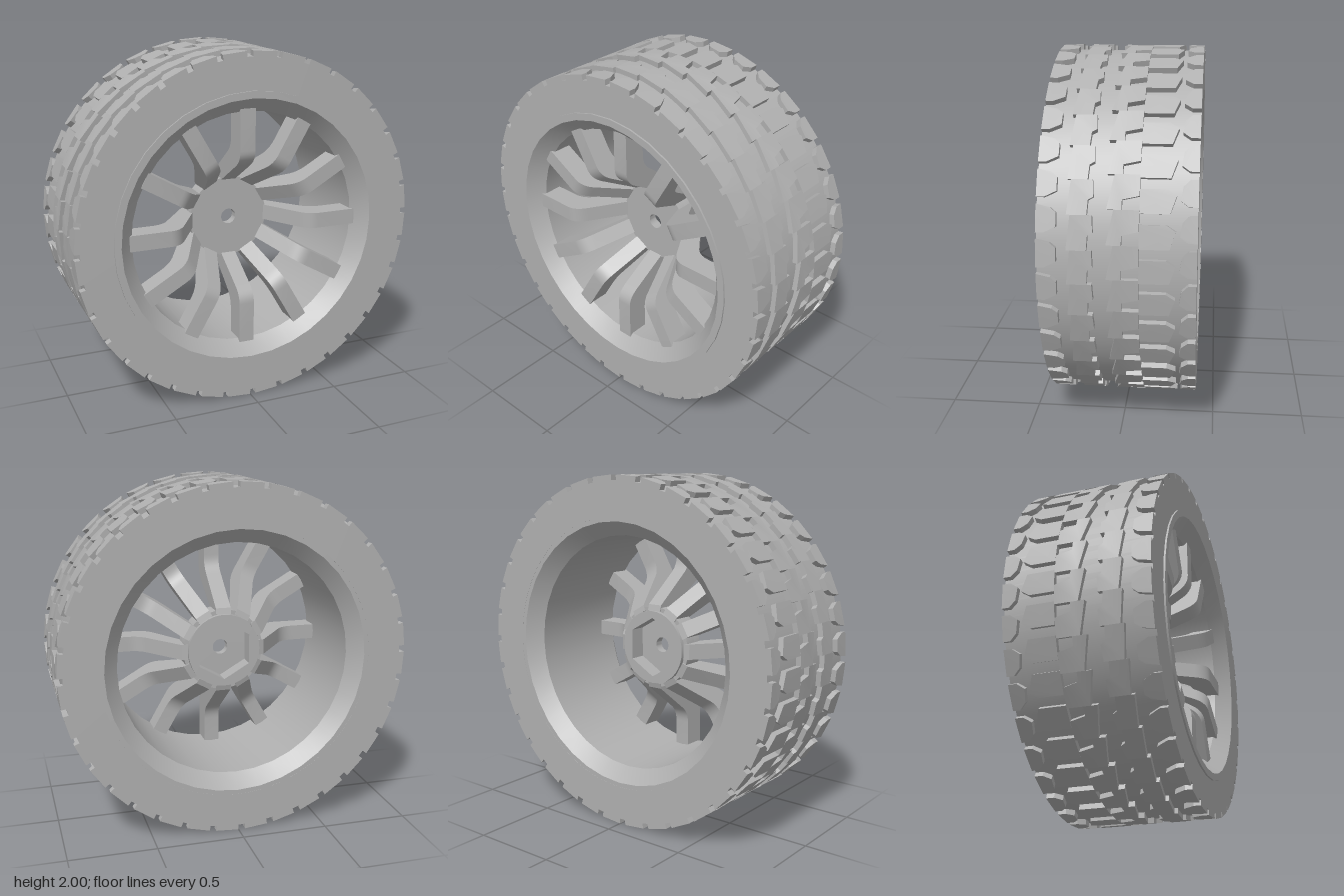
import * as THREE from 'three';
import { mergeGeometries, toCreasedNormals } from 'three/addons/utils/BufferGeometryUtils.js';

const grey = new THREE.MeshStandardMaterial({ color: 0xb0b0b0 });
grey.name = 'grey';

const TREADS = 36;
const PITCH = (Math.PI * 2) / TREADS;

function part(name, geometry) {
  const mesh = new THREE.Mesh(geometry, grey);
  mesh.name = name;
  return mesh;
}

// Closed ring of revolution about z from (radius, z) points, counterclockwise
function ring(points, segments) {
  const profile = [...points, points[0]].map(([r, z]) => new THREE.Vector2(r, z));
  const geometry = new THREE.LatheGeometry(profile, segments).rotateX(Math.PI / 2);
  return toCreasedNormals(geometry, 0.5);
}

// One repeating tread row: an outline in (arc, z), raised and wrapped round the tyre
function treadRow(outline, shift) {
  const shape = new THREE.Shape(outline.map(([a, z]) => new THREE.Vector2(-a, z)));
  const blocks = [];
  for (let i = 0; i < TREADS; i++) {
    const block = new THREE.ExtrudeGeometry(shape, { depth: 0.04, bevelEnabled: false });
    const p = block.attributes.position;
    for (let v = 0; v < p.count; v++) {
      const angle = p.getX(v) - shift + i * PITCH;
      const radius = 0.96 + p.getZ(v);
      p.setXYZ(v, -radius * Math.sin(angle), radius * Math.cos(angle), p.getY(v));
    }
    blocks.push(block);
  }
  return toCreasedNormals(mergeGeometries(blocks), 0.4);
}

// Flat disc with a hole, from z to z + depth
function disc(radius, hole, z, depth) {
  const shape = new THREE.Shape().absarc(0, 0, radius, 0, Math.PI * 2);
  shape.holes.push(hole);
  const geometry = new THREE.ExtrudeGeometry(shape, { depth, bevelEnabled: false, curveSegments: 20 });
  return toCreasedNormals(geometry.translate(0, 0, z), 0.5);
}

// Dished spoke: side profile in (radius, z), extruded to its width
function spokeGeometry() {
  const s = new THREE.Shape();
  s.moveTo(0.215, -0.08);
  s.lineTo(0.25, -0.07);
  s.lineTo(0.41, 0.14);
  s.quadraticCurveTo(0.45, 0.2, 0.52, 0.2);
  s.lineTo(0.685, 0.2);
  s.lineTo(0.685, 0.33);
  s.lineTo(0.45, 0.33);
  s.quadraticCurveTo(0.39, 0.33, 0.35, 0.26);
  s.lineTo(0.225, 0.05);
  s.lineTo(0.215, 0.05);
  const geometry = new THREE.ExtrudeGeometry(s, { depth: 0.09, bevelEnabled: false, curveSegments: 6 });
  geometry.translate(0, 0, -0.045).rotateX(Math.PI / 2);
  return toCreasedNormals(geometry, 0.5);
}

export function createModel() {
  const model = new THREE.Group();
  model.name = 'wheel';
  const wheel = new THREE.Group();
  wheel.name = 'wheelAssembly';
  wheel.position.y = 1;
  model.add(wheel);

  // Tyre carcass and rim
  wheel.add(part('tyre', ring([[0.775, -0.4], [0.97, -0.4], [0.97, 0.39], [0.775, 0.39]], 72)));
  wheel.add(part('rim', ring([
    [0.79, -0.399], [0.79, 0.4], [0.75, 0.4], [0.67, 0.31], [0.67, -0.32], [0.75, -0.399],
  ], 36)));

  // Tread rows, front to back
  const P = PITCH;
  const rows = [
    ['frontShoulderTread', 0,
      [[0, 0.39], [0.14, 0.39], [0.14, 0.35], [0.11, 0.29], [0.04, 0.29], [0.015, 0.32]]],
    ['frontBandTread', 0.05,
      [[0, 0.222], [P, 0.24], [P, 0.14], [0.1, 0.135], [0.085, 0.11], [0, 0.115]]],
    ['centreTread', 0.02,
      [[0, 0.01], [P, 0.045], [P, -0.03], [0.125, -0.03], [0.105, -0.115], [0, -0.115]]],
    ['rearBlockTread', 0.09,
      [[0, -0.116], [0.12, -0.116], [0.12, -0.265], [0.03, -0.295], [0, -0.25]]],
    ['rearShoulderTread', 0.04,
      [[0, -0.4], [0.135, -0.4], [0.135, -0.355], [0.105, -0.315], [0.035, -0.325], [0, -0.36]]],
  ];
  for (const [name, shift, outline] of rows) wheel.add(part(name, treadRow(outline, shift)));

  // Twelve dished spokes
  const spoke = spokeGeometry();
  for (let i = 0; i < 12; i++) {
    const mesh = part('spoke', spoke);
    // profile lies in the radius-z plane
    mesh.rotation.z = (i * Math.PI) / 6;
    wheel.add(mesh);
  }

  // Hub: front plate with axle hole, flange and collar with hexagonal socket
  const axle = new THREE.Path().absarc(0, 0, 0.045, 0, Math.PI * 2);
  const hex = () => new THREE.Path(Array.from({ length: 6 }, (_, i) => {
    const a = Math.PI / 2 + (i * Math.PI) / 3;
    return new THREE.Vector2(0.175 * Math.cos(a), 0.175 * Math.sin(a));
  }));
  wheel.add(part('hubPlate', disc(0.24, axle, 0, 0.05)));
  wheel.add(part('hubFlange', disc(0.24, hex(), -0.07, 0.07)));
  wheel.add(part('hubCollar', disc(0.215, hex(), -0.095, 0.025)));
  return model;
}
